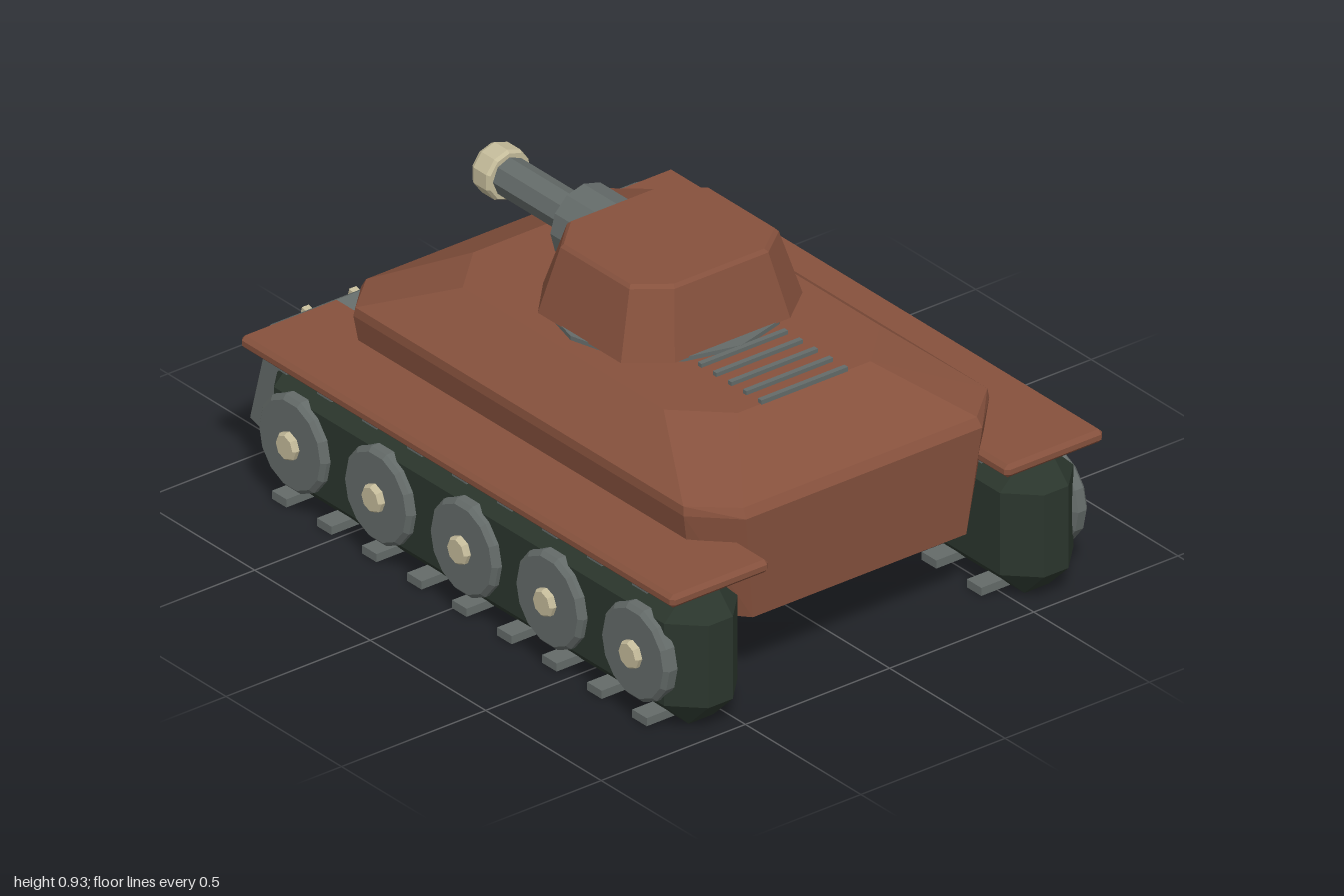
import * as THREE from 'three';
import { ConvexGeometry } from 'three/addons/geometries/ConvexGeometry.js';

const mat = (name, color) => {
  const m = new THREE.MeshStandardMaterial({ color, flatShading: true });
  m.name = name;
  return m;
};

// Box with every edge and corner cut by b
function chamferBox(w, h, d, b) {
  const x = w / 2, y = h / 2, z = d / 2, pts = [];
  for (const i of [-1, 1]) for (const j of [-1, 1]) for (const k of [-1, 1]) {
    pts.push(
      new THREE.Vector3(i * x, j * (y - b), k * (z - b)),
      new THREE.Vector3(i * (x - b), j * y, k * (z - b)),
      new THREE.Vector3(i * (x - b), j * (y - b), k * z));
  }
  return new ConvexGeometry(pts);
}

// Solid through eight-cornered layers: [y, halfX, cornerX, frontZ, frontCornerZ, backCornerZ, backZ]
function octagonStack(layers) {
  const pts = [];
  for (const [y, x, cx, zf, czf, czb, zb] of layers) {
    for (const s of [-1, 1]) {
      for (const [px, pz] of [[cx, zf], [x, czf], [x, czb], [cx, zb]]) {
        pts.push(new THREE.Vector3(s * px, y, pz));
      }
    }
  }
  return new ConvexGeometry(pts);
}

// Lathe from [radius, height] points, axis turned along x or z
function turned(profile, sides, axis) {
  const g = new THREE.LatheGeometry(profile.map(p => new THREE.Vector2(...p)), sides).toNonIndexed();
  if (axis === 'x') g.rotateZ(-Math.PI / 2);
  if (axis === 'z') g.rotateX(-Math.PI / 2); // +y becomes -z
  g.computeVertexNormals();
  return g;
}

export function createModel() {
  const root = new THREE.Group();
  root.name = 'tank';
  const brown = mat('rustBrown', 0x86513d);
  const grey = mat('steelGrey', 0x646b69);
  const cream = mat('paleBrass', 0xc4bb9a);
  const green = mat('darkGreen', 0x2b362d);

  const add = (parent, name, geometry, material, x = 0, y = 0, z = 0) => {
    const m = new THREE.Mesh(geometry, material);
    m.name = name;
    m.position.set(x, y, z);
    parent.add(m);
    return m;
  };

  // Hull
  add(root, 'hull', octagonStack([
    [0.23, 0.475, 0.37, 0.87, 0.75, -0.64, -0.75],
    [0.555, 0.53, 0.41, 0.89, 0.77, -0.66, -0.775],
    [0.582, 0.527, 0.405, 0.872, 0.765, -0.655, -0.76],
    [0.71, 0.375, 0.23, 0.63, 0.49, -0.38, -0.515],
  ]), brown);

  // Deck slats
  for (let i = 0; i < 5; i++) {
    add(root, 'deckSlat', new THREE.BoxGeometry(0.3, 0.024, 0.016), grey, 0, 0.71, 0.365 + i * 0.065);
  }

  // Turret and its ring
  add(root, 'turretRing', new THREE.CylinderGeometry(0.33, 0.33, 0.03, 12), grey, 0, 0.708, 0.03);
  add(root, 'turret', octagonStack([
    [0.72, 0.315, 0.2, 0.32, 0.23, -0.13, -0.25],
    [0.915, 0.259, 0.163, 0.272, 0.197, -0.102, -0.193],
    [0.925, 0.25, 0.157, 0.262, 0.19, -0.098, -0.183],
  ]), brown);

  // Gun, pointing to -z
  const gun = new THREE.Group();
  gun.name = 'gun';
  gun.position.y = 0.81;
  root.add(gun);
  add(gun, 'gunMantlet', turned([[0, 0.15], [0.115, 0.15], [0.115, 0.325], [0, 0.325]], 12, 'z'), grey);
  add(gun, 'barrel', turned([[0.058, 0.3], [0.058, 0.68]], 8, 'z'), grey);
  add(gun, 'muzzle', turned([[0.05, 0.645], [0.07, 0.645], [0.077, 0.655], [0.077, 0.71],
    [0.068, 0.725], [0.045, 0.725], [0.045, 0.71]], 10, 'z'), cream);
  add(gun, 'bore', turned([[0.046, 0.715], [0, 0.715]], 10, 'z'), green);

  // Running gear on both sides
  const wheelGeo = turned([[0.13, 0], [0.145, 0.01], [0.145, 0.038], [0.132, 0.05], [0, 0.05]], 14, 'x');
  const hubGeo = turned([[0.042, 0], [0.042, 0.062], [0.036, 0.07], [0, 0.07]], 8, 'x');
  for (const s of [1, -1]) {
    const side = new THREE.Group();
    side.name = s > 0 ? 'leftRunningGear' : 'rightRunningGear';
    root.add(side);
    add(side, 'fender', chamferBox(0.34, 0.04, 1.875, 0.012), brown, s * 0.58, 0.457, 0.058);
    add(side, 'track', chamferBox(0.255, 0.424, 1.86, 0.085), green, s * 0.582, 0.218, 0.065);
    for (let i = 0; i < 9; i++) {
      const z = 0.81 - i * 0.195;
      for (const y of [0.0125, 0.423]) {
        add(side, 'trackCleat', new THREE.BoxGeometry(0.27, 0.025, 0.063), grey, s * 0.58, y, z);
      }
    }
    for (let i = 0; i < 5; i++) {
      const z = 0.805 - i * 0.371;
      for (const [name, g, m] of [['wheel', wheelGeo, grey], ['wheelHub', hubGeo, cream]]) {
        add(side, name, g, m, s * 0.685, 0.217, z).rotation.y = s > 0 ? 0 : Math.PI;
      }
    }
  }

  // Tilted plough plate with ribs at the gun end
  const plough = new THREE.Group();
  plough.name = 'plough';
  plough.position.set(0, 0.295, -0.876);
  plough.rotation.x = 0.264;
  root.add(plough);
  add(plough, 'ploughPlate', chamferBox(1.3, 0.352, 0.118, 0.018), grey);
  for (const x of [-0.487, -0.323, 0, 0.323, 0.487]) {
    add(plough, 'ploughRib', new THREE.BoxGeometry(0.024, 0.31, 0.036), cream, x, -0.01, -0.068);
  }

  return root;
}
